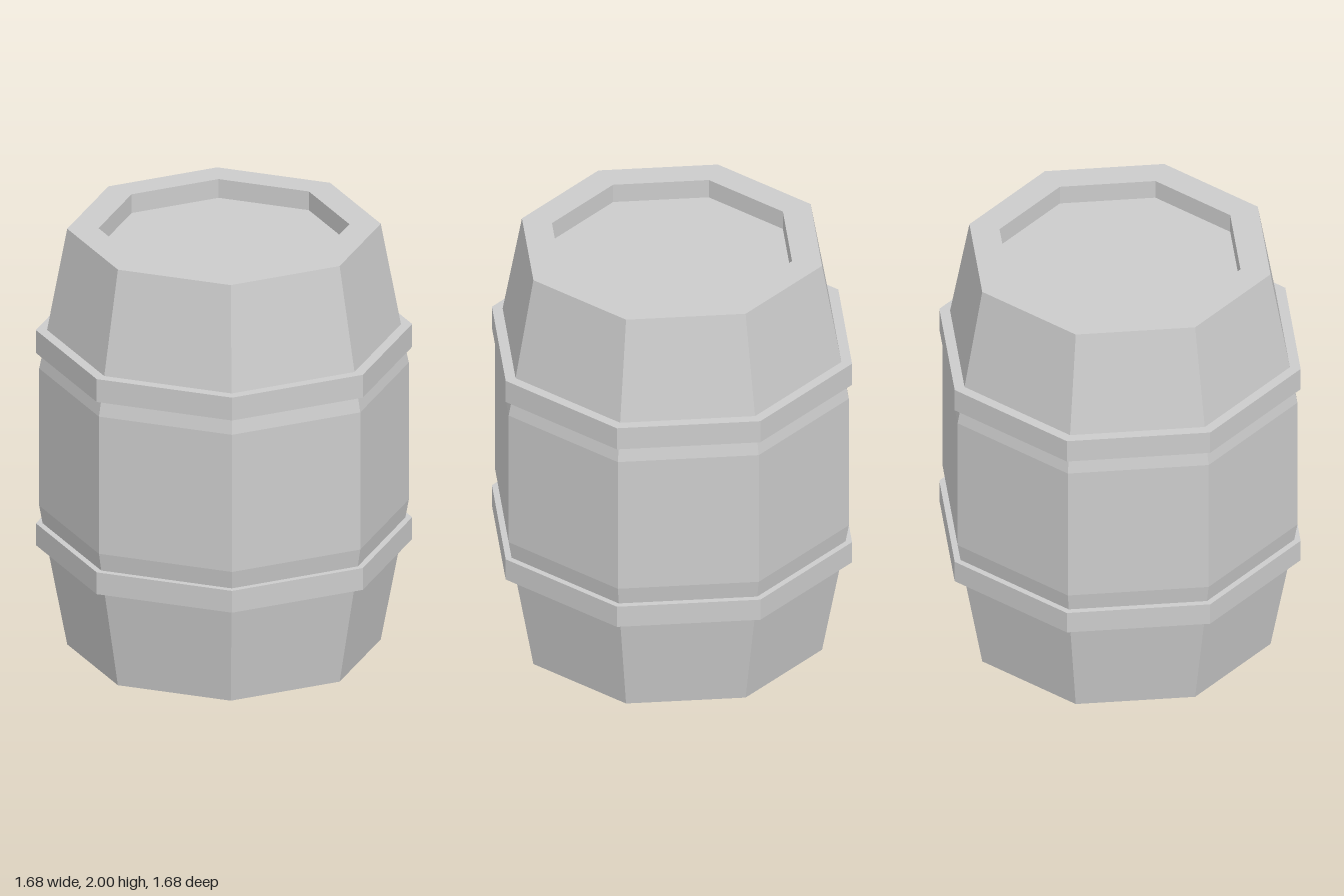
import * as THREE from 'three';

const SIDES = 8;

export function createModel() {
  const barrel = new THREE.Group();
  barrel.name = 'barrel';
  const material = new THREE.MeshStandardMaterial({
    color: 0xcccccc, flatShading: true, side: THREE.DoubleSide,
  });

  // Adds an eight-sided shell turned from [radius, height] pairs, listed bottom to top
  function addTurned(name, profile) {
    const points = profile.map(([r, y]) => new THREE.Vector2(r, y));
    const geometry = new THREE.LatheGeometry(points, SIDES).toNonIndexed();
    geometry.computeVertexNormals();
    const mesh = new THREE.Mesh(geometry, material);
    mesh.name = name;
    barrel.add(mesh);
  }

  // Staves: tapered ends and a bulging middle, interrupted where the hoops sit
  addTurned('lowerStaves', [[0.70, 0], [0.79, 0.48]]);
  addTurned('middleStaves', [[0.81, 0.585], [0.825, 0.67], [0.825, 1.33], [0.81, 1.405]]);
  addTurned('upperStaves', [[0.79, 1.515], [0.70, 2]]);

  // Hoops: hollow bands standing out from the staves
  addTurned('lowerHoop', [[0.79, 0.48], [0.84, 0.48], [0.84, 0.585], [0.81, 0.585]]);
  addTurned('upperHoop', [[0.81, 1.405], [0.84, 1.405], [0.84, 1.515], [0.79, 1.515]]);

  // Rim and the short wall down to the sunken lid; the underside stays open
  const lidRadius = 0.56, lidHeight = 1.91;
  addTurned('rim', [[0.70, 2], [lidRadius, 2], [lidRadius, lidHeight]]);

  const lid = new THREE.Mesh(new THREE.CircleGeometry(lidRadius, SIDES), material);
  lid.name = 'lid';
  lid.rotation.x = -Math.PI / 2;
  lid.position.y = lidHeight;
  barrel.add(lid);

  return barrel;
}
